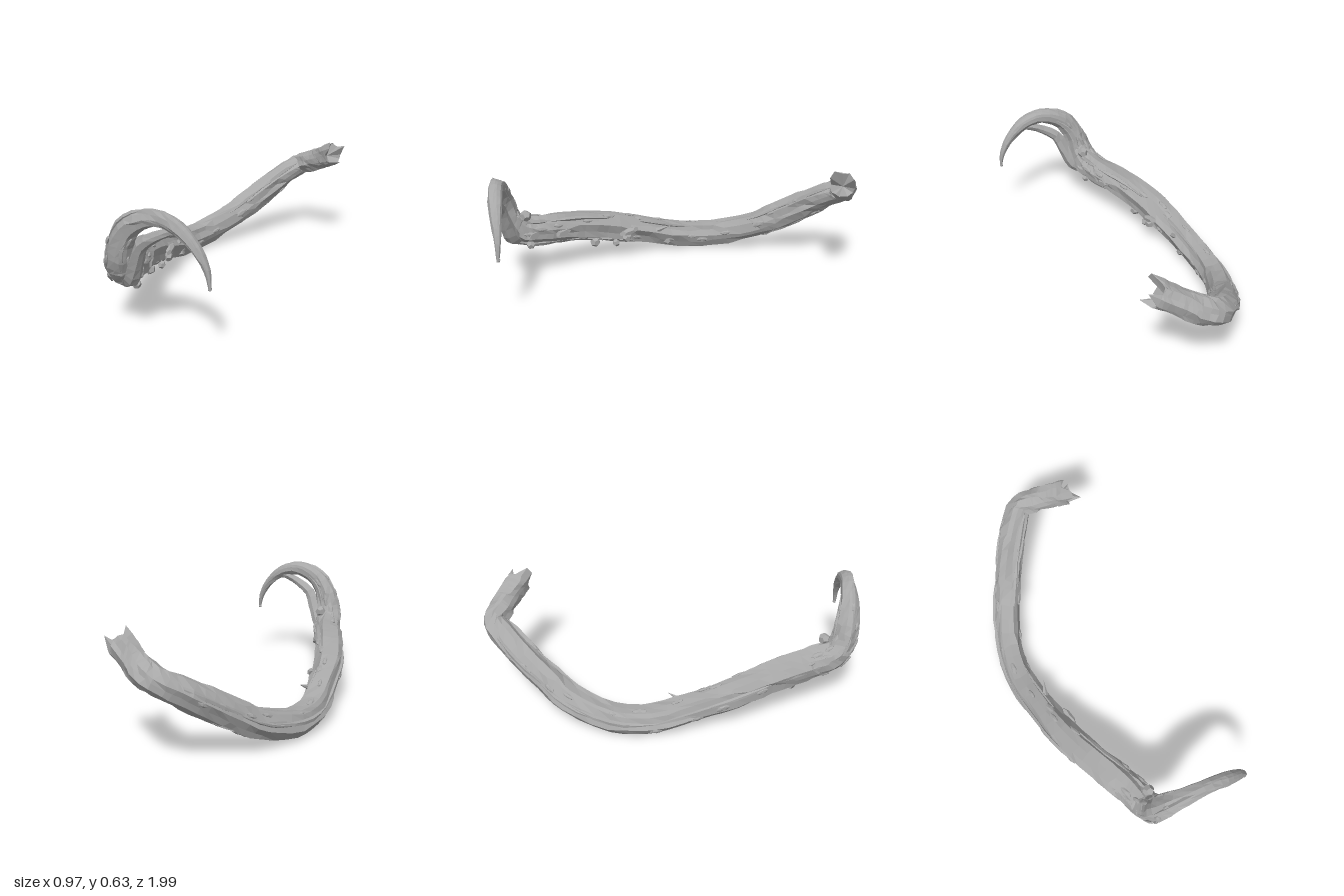
import * as THREE from 'three';

const V = (x, y, z) => new THREE.Vector3(x, y, z);

// Repeatable value in -1..1 from two whole numbers
const hash = (a, b) => {
  const s = Math.sin(a * 127.1 + b * 311.7) * 43758.5453;
  return (s - Math.floor(s)) * 2 - 1;
};

// Path of [x, y, z, radius] points sampled into frames carried along the curve
function makeFrames(path, steps) {
  const curve = new THREE.CatmullRomCurve3(path.map(p => V(p[0], p[1], p[2])), false, 'centripetal');
  const frames = [];
  let n = V(0.3, 1, 0.2);
  for (let i = 0; i <= steps; i++) {
    const t = i / steps;
    const k = Math.min(Math.floor(t * (path.length - 1)), path.length - 2);
    const T = curve.getTangent(t);
    n = n.clone().addScaledVector(T, -n.dot(T)).normalize();
    frames.push({
      p: curve.getPoint(t), T, n, b: T.clone().cross(n),
      r: THREE.MathUtils.lerp(path[k][3], path[k + 1][3], t * (path.length - 1) - k),
    });
  }
  return frames;
}

// Grooved, flat-faced skin; ragged > 0 splinters and hollows the far end
function barkTube(frames, sides, ridge, ragged, seed) {
  const pos = [], idx = [], last = frames.length - 1;
  frames.forEach((f, i) => {
    for (let j = 0; j < sides; j++) {
      const a = (j + 0.35 * hash(j, seed + Math.floor((i + 2 * j) / 5))) / sides * Math.PI * 2 + i * 0.025;
      const groove = (j % 2 ? -0.3 : 0.3) + 0.6 * hash(j, seed + 5 + Math.floor((i + 3 * j) / 5));
      const r = f.r * (1 + ridge * (groove + 0.2 * hash(i, j + seed)));
      const q = f.p.clone().addScaledVector(f.n, Math.cos(a) * r).addScaledVector(f.b, Math.sin(a) * r);
      const slide = i === last && ragged ? ragged * (j % 4 === 0 ? 1.1 : -0.5 + 0.5 * hash(j, 9))
        : i > 0 && i < last - 1 ? f.r * 0.18 * hash(j + 40, i + seed) : 0;
      pos.push(...q.addScaledVector(f.T, slide).toArray());
    }
  });
  for (let i = 0; i < last; i++) for (let j = 0; j < sides; j++) {
    const a = i * sides + j, b = i * sides + (j + 1) % sides;
    idx.push(a, b, b + sides, a, b + sides, a + sides);
  }
  const c = pos.length / 3, e = frames[last];
  pos.push(...frames[0].p.toArray(), ...e.p.clone().addScaledVector(e.T, -ragged * 2).toArray());
  for (let j = 0; j < sides; j++) {
    const k = (j + 1) % sides;
    idx.push(k, j, c, last * sides + j, last * sides + k, c + 1);
  }
  const g = new THREE.BufferGeometry();
  g.setAttribute('position', new THREE.Float32BufferAttribute(pos, 3));
  g.setIndex(idx);
  const flat = g.toNonIndexed();
  flat.computeVertexNormals();
  return flat;
}

export function createModel() {
  const root = new THREE.Group();
  root.name = 'driftwoodBranch';
  const bark = new THREE.MeshStandardMaterial({ color: 0xa8a8a8 });
  const add = (geo, name) => {
    const m = new THREE.Mesh(geo, bark);
    m.name = name;
    root.add(m);
    return m;
  };

  // One limb: hooked tip, long bowed body, climbing rear, sharp bend and splintered end
  const limbFrames = makeFrames([
    [0.155, 0.305, 0.99, 0.006], [0.14, 0.39, 0.982, 0.015], [0.09, 0.48, 0.97, 0.025],
    [0, 0.56, 0.95, 0.034], [-0.11, 0.588, 0.92, 0.038], [-0.23, 0.54, 0.885, 0.048],
    [-0.298, 0.44, 0.855, 0.062], [-0.318, 0.34, 0.825, 0.069], [-0.326, 0.28, 0.77, 0.076],
    [-0.33, 0.257, 0.68, 0.08], [-0.345, 0.247, 0.58, 0.081], [-0.38, 0.225, 0.4, 0.078],
    [-0.403, 0.182, 0.2, 0.082], [-0.4, 0.132, 0, 0.07], [-0.385, 0.083, -0.2, 0.07],
    [-0.32, 0.077, -0.4, 0.069], [-0.185, 0.138, -0.6, 0.072], [-0.09, 0.21, -0.7, 0.073],
    [0.012, 0.295, -0.8, 0.073], [0.115, 0.375, -0.885, 0.069], [0.195, 0.422, -0.93, 0.063],
    [0.265, 0.452, -0.895, 0.065], [0.32, 0.483, -0.853, 0.063], [0.375, 0.512, -0.81, 0.064],
    [0.425, 0.54, -0.77, 0.067],
  ], 72);
  add(barkTube(limbFrames, 13, 0.16, 0.035, 3), 'limb');

  // Thin strand splitting away on the inside of the hook
  add(barkTube(makeFrames([
    [-0.3, 0.235, 0.79, 0.035], [-0.262, 0.27, 0.825, 0.045], [-0.224, 0.36, 0.862, 0.036],
    [-0.186, 0.445, 0.892, 0.03], [-0.1, 0.505, 0.922, 0.023], [-0.02, 0.535, 0.94, 0.018],
    [0.045, 0.522, 0.958, 0.008],
  ], 14), 7, 0.15, 0, 31), 'innerStrand');

  // Lens-shaped bark chips lying along the surface
  for (let i = 0; i < 54; i++) {
    const f = limbFrames[16 + (i * 17) % 40];
    const a = i * 2.4;
    const out = f.n.clone().multiplyScalar(Math.cos(a)).addScaledVector(f.b, Math.sin(a));
    const chip = add(new THREE.IcosahedronGeometry(1, 0), 'barkChip');
    chip.position.copy(f.p).addScaledVector(out, f.r * 0.98);
    chip.quaternion.setFromRotationMatrix(new THREE.Matrix4().makeBasis(out.clone().cross(f.T), out, f.T));
    chip.scale.set(0.014 + 0.004 * hash(i, 1), 0.008, 0.036 + 0.012 * hash(i, 2));
  }

  // Raised bark ridges running along the limb
  for (let k = 0; k < 22; k++) {
    const start = 12 + (k * 11) % 42, a = k * 2.1;
    const path = [0, 2, 4, 6].map((s, n) => {
      const f = limbFrames[start + s];
      const q = f.p.clone().addScaledVector(f.n, Math.cos(a) * f.r * 0.95)
        .addScaledVector(f.b, Math.sin(a) * f.r * 0.95);
      return [...q.toArray(), n % 3 ? 0.013 : 0.003];
    });
    add(barkTube(makeFrames(path, 6), 5, 0.15, 0, 50 + k), 'barkRidge');
  }

  // Round knots: [x, y, z, size]
  [
    [-0.28, 0.36, 0.74, 0.031], [-0.285, 0.19, 0.72, 0.024], [-0.375, 0.17, 0.53, 0.028],
    [-0.365, 0.115, 0.33, 0.029], [-0.345, 0.098, 0.21, 0.022], [-0.33, 0.125, 0.15, 0.028],
    [-0.345, 0.06, -0.11, 0.024], [0.153, 0.312, 0.986, 0.01],
  ].forEach(([x, y, z, s], i) => {
    const knot = add(new THREE.DodecahedronGeometry(s, 0), 'knot');
    knot.position.set(x, y, z);
    knot.rotation.set(i, i * 1.7, 0);
  });

  // Torn slabs of bark on the inner side: [x, y, z, width, height, length]
  [[-0.318, 0.165, 0.14, 0.03, 0.035, 0.1], [-0.285, 0.24, 0.54, 0.03, 0.05, 0.09],
    [-0.27, 0.26, 0.7, 0.03, 0.05, 0.12]].forEach(([x, y, z, w, h, d], i) => {
    const slab = add(new THREE.DodecahedronGeometry(0.6, 0), 'barkSlab');
    slab.position.set(x, y, z);
    slab.rotation.set(0.2, 0.12 * i, 0.3);
    slab.scale.set(w, h, d);
  });

  // Short side splinters: [x, y, z, tilt about x, tilt about z]
  [[-0.325, 0.15, -0.07, -1.1, -0.5], [-0.36, 0.29, 0.45, 1.4, -0.2]].forEach(([x, y, z, rx, rz]) => {
    const s = add(new THREE.ConeGeometry(0.02, 0.11, 5).toNonIndexed(), 'splinter');
    s.geometry.computeVertexNormals();
    s.position.set(x, y, z);
    s.rotation.set(rx, 0, rz);
  });

  return root;
}
